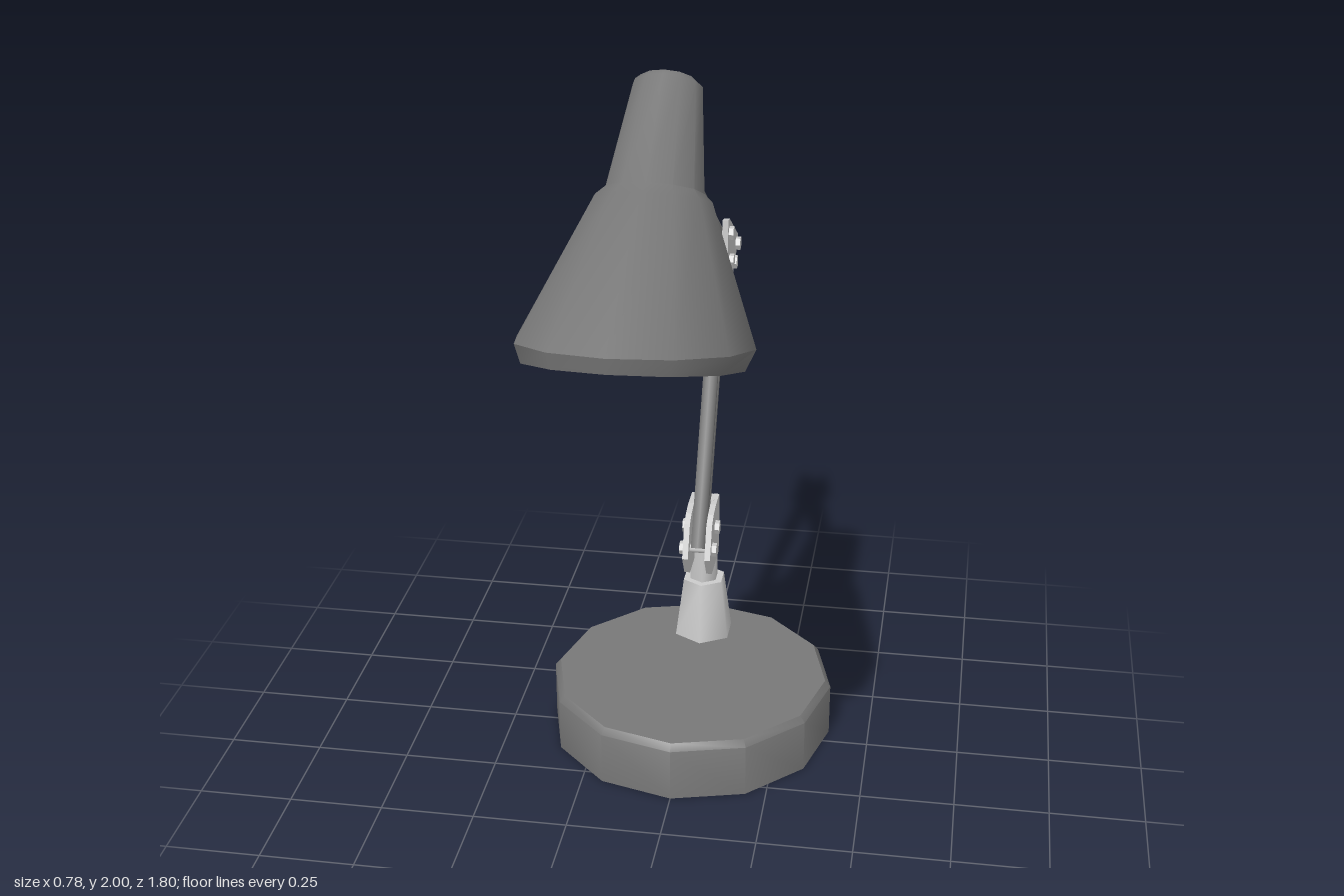
import * as THREE from 'three';
import { toCreasedNormals } from 'three/addons/utils/BufferGeometryUtils.js';

const light = new THREE.MeshStandardMaterial({ color: 0xcccccc });
const dark = new THREE.MeshStandardMaterial({ color: 0x787878 });
const darkShell = new THREE.MeshStandardMaterial({ color: 0x787878, side: THREE.DoubleSide });

function add(parent, name, geometry, material) {
  const mesh = new THREE.Mesh(geometry, material);
  mesh.name = name;
  parent.add(mesh);
  return mesh;
}

// Bar between two [z, y] points in the plane x = 0
function bar(parent, name, a, b, radius, material) {
  const start = new THREE.Vector3(0, a[1], a[0]);
  const end = new THREE.Vector3(0, b[1], b[0]);
  const geo = new THREE.CylinderGeometry(radius, radius, start.distanceTo(end), 6);
  const mesh = add(parent, name, toCreasedNormals(geo, 1.1), material);
  mesh.position.copy(start).lerp(end, 0.5);
  mesh.quaternion.setFromUnitVectors(new THREE.Vector3(0, 1, 0), end.sub(start).normalize());
}

// Pair of side plates from a [z, y] outline, with bolt heads outside and pins between
function bracket(parent, name, outline, bolts) {
  const group = new THREE.Group();
  group.name = name;
  parent.add(group);
  const thickness = 0.016;
  const shape = new THREE.Shape(outline.map(([z, y]) => new THREE.Vector2(z, y)));
  const geo = new THREE.ExtrudeGeometry(shape, { depth: thickness, bevelEnabled: false });
  for (const side of [-1, 1]) {
    const plate = add(group, 'sidePlate', geo, light);
    plate.rotation.y = -Math.PI / 2;
    plate.position.x = side * 0.031 + thickness / 2;
    for (const [z, y] of bolts) {
      const bolt = add(group, 'boltHead', toCreasedNormals(new THREE.CylinderGeometry(0.019, 0.019, 0.014, 6), 0.6), light);
      bolt.rotation.z = Math.PI / 2;
      bolt.position.set(side * 0.045, y, z);
    }
  }
  for (const [z, y] of bolts) {
    const pin = add(group, 'pin', new THREE.CylinderGeometry(0.012, 0.012, 0.06, 6), light);
    pin.rotation.z = Math.PI / 2;
    pin.position.set(0, y, z);
  }
}

// Skin over elliptical rings: front [z, y], back [z, y], half width in x
function ringSkin(rings, capStart, capEnd) {
  const sides = 12, positions = [], index = [];
  for (const [f, b, w] of rings) {
    for (let i = 0; i < sides; i++) {
      const t = (i / sides) * Math.PI * 2, c = (1 + Math.cos(t)) / 2;
      positions.push(w * Math.sin(t), b[1] + (f[1] - b[1]) * c, b[0] + (f[0] - b[0]) * c);
    }
  }
  for (let r = 0; r < rings.length - 1; r++) {
    for (let i = 0; i < sides; i++) {
      const a = r * sides + i, b = r * sides + (i + 1) % sides;
      index.push(a, a + sides, b, b, a + sides, b + sides);
    }
  }
  const last = (rings.length - 1) * sides;
  for (let i = 1; i < sides - 1; i++) {
    if (capStart) index.push(0, i, i + 1);
    if (capEnd) index.push(last, last + i + 1, last + i);
  }
  const geo = new THREE.BufferGeometry();
  geo.setAttribute('position', new THREE.Float32BufferAttribute(positions, 3));
  geo.setIndex(index);
  return toCreasedNormals(geo, 0.75);
}

export function createModel() {
  const lamp = new THREE.Group();
  lamp.name = 'deskLamp';

  // Hollow round foot, open underneath
  const profile = [[0.39, 0], [0.39, 0.147], [0.375, 0.165], [0, 0.165]].map(([x, y]) => new THREE.Vector2(x, y));
  add(lamp, 'base', toCreasedNormals(new THREE.LatheGeometry(profile, 12), 0.8), darkShell).position.z = -0.3;

  // Tapered socket and stem
  const socket = new THREE.CylinderGeometry(0.062, 0.087, 0.18, 6);
  add(lamp, 'socket', toCreasedNormals(socket, 1.1), light).position.set(0, 0.25, -0.532);
  const stem = new THREE.CylinderGeometry(0.042, 0.042, 0.19, 6);
  add(lamp, 'stem', toCreasedNormals(stem, 1.1), light).position.set(0, 0.415, -0.532);
  const stemTop = new THREE.CylinderGeometry(0.034, 0.042, 0.085, 6);
  add(lamp, 'stemTop', toCreasedNormals(stemTop, 1.1), light).position.set(0, 0.552, -0.53);

  // Joints
  const low = [[-0.415, 0.49], [-0.475, 0.53]];
  const elbowLow = [[-0.79, 1.205], [-0.862, 1.235]];
  const elbowHigh = [[-0.71, 1.318], [-0.72, 1.235]];
  const high = [[-0.01, 1.75], [-0.03, 1.672]];
  const link = [0.07, 1.645];
  bracket(lamp, 'stemBracket', [[-0.37, 0.477], [-0.408, 0.567], [-0.44, 0.585], [-0.487, 0.594],
    [-0.555, 0.594], [-0.57, 0.5], [-0.55, 0.413], [-0.413, 0.413]], low);
  bracket(lamp, 'elbowBracket', [[-0.684, 1.362], [-0.715, 1.357], [-0.9, 1.25], [-0.9, 1.224],
    [-0.784, 1.16], [-0.678, 1.23]], [...elbowLow, ...elbowHigh]);
  bracket(lamp, 'headBracket', [[0.016, 1.818], [-0.01, 1.813], [-0.074, 1.653], [-0.069, 1.638],
    [0.1, 1.61], [0.117, 1.622]], [...high, link]);

  // Parallel arm rods
  for (let i = 0; i < 2; i++) {
    bar(lamp, 'lowerArmRod', low[i], elbowLow[i], 0.023, dark);
    bar(lamp, 'upperArmRod', elbowHigh[i], high[i], 0.023, dark);
  }
  bar(lamp, 'headLink', link, [0.165, 1.805], 0.022, light);

  // Shade: capped neck, shoulder, oblique flare, rolled lip, then the inner wall
  add(lamp, 'shade', ringSkin([
    [[0.158, 1.999], [0.054, 1.92], 0.066],
    [[0.172, 1.994], [0.049, 1.905], 0.08],
    [[0.405, 1.817], [0.19, 1.705], 0.112],
    [[0.466, 1.813], [0.17, 1.685], 0.133],
    [[0.9, 1.61], [0.2, 1.396], 0.262],
    [[0.892, 1.572], [0.286, 1.362], 0.243],
    [[0.865, 1.575], [0.29, 1.376], 0.23],
    [[0.45, 1.785], [0.2, 1.675], 0.115],
  ], true, true), darkShell);

  // Bulb inside the shade
  const bulb = add(lamp, 'bulb', new THREE.SphereGeometry(0.095, 12, 8), light);
  bulb.position.set(0, 1.59, 0.44);
  bulb.rotation.x = -0.65;
  bar(lamp, 'bulbHolder', [0.31, 1.75], [0.42, 1.62], 0.05, light);
  return lamp;
}
